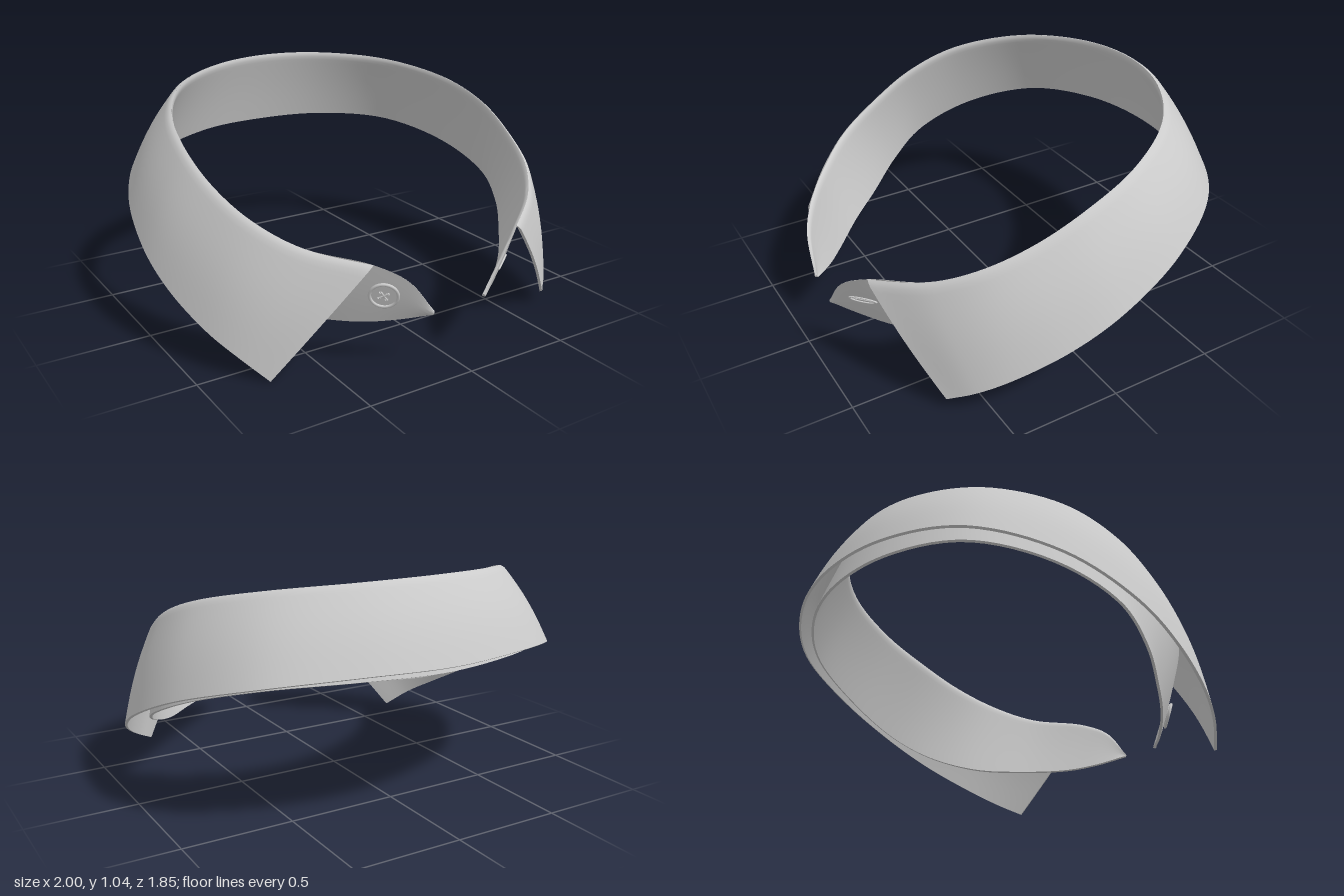
import * as THREE from 'three';
import { toCreasedNormals } from 'three/addons/utils/BufferGeometryUtils.js';

const material = new THREE.MeshStandardMaterial({ color: 0xcccccc });
const V = (x, y, z) => new THREE.Vector3(x, y, z);
const THICK = 0.012;

// Left half of each guide line, from centre back to centre front
const FOLD = [[0, 1.042, -0.733], [0.3, 1.032, -0.675], [0.585, 0.998, -0.485], [0.76, 0.93, -0.2], [0.805, 0.845, 0.05],
  [0.782, 0.74, 0.28], [0.71, 0.648, 0.49], [0.58, 0.57, 0.66], [0.36, 0.51, 0.83]];
const FALL_EDGE = [[0, 0.705, -0.918], [0.38, 0.7, -0.853], [0.725, 0.655, -0.66], [0.925, 0.555, -0.34], [0.988, 0.42, -0.02],
  [0.962, 0.305, 0.21], [0.88, 0.19, 0.43], [0.795, 0.112, 0.562], [0.702, 0.05, 0.655]];
const BAND_TOP = [...FOLD, [0.235, 0.435, 0.9], [0.12, 0.282, 0.922]];
const BAND_EDGE = [[0, 0.672, -0.872], [0.36, 0.67, -0.808], [0.68, 0.638, -0.625], [0.875, 0.545, -0.33], [0.935, 0.425, -0.05],
  [0.865, 0.325, 0.15], [0.715, 0.25, 0.35], [0.55, 0.226, 0.535], [0.36, 0.218, 0.71], [0.24, 0.234, 0.81], [0.123, 0.27, 0.915]];

// Mirrored half, hanging slightly lower towards the front
function mirrored([x, y, z]) {
  const k = THREE.MathUtils.clamp((z + 0.2) / 0.85, 0, 1);
  const drop = 0.028 + 0.45 * Math.max(0, 0.1 - y);
  return V(-x * (1 + 0.1 * k * Math.max(0, 0.5 - y)), y - k * drop, z - 0.025 * k);
}

function fullCurve(half) {
  const right = half.slice(1).reverse().map(mirrored);
  return new THREE.CatmullRomCurve3([...right, ...half.map((p) => V(...p))]);
}

// Surface ruled between two curves, with a soft outward bulge
function ruled(top, bottom, bulge) {
  const base = (u, v) => top.getPoint(u).lerp(bottom.getPoint(u), v);
  const frame = (u, v) => {
    const e = 0.002;
    const dU = base(Math.min(1, u + e), v).sub(base(Math.max(0, u - e), v)).normalize();
    const dV = base(u, 1).sub(base(u, 0)).normalize();
    return { dU, n: dU.clone().cross(dV).normalize() };
  };
  const point = (u, v, offset = 0) => base(u, v).addScaledVector(frame(u, v).n, offset + bulge * Math.sin(Math.PI * v));
  return { point, frame };
}

// Closed cloth sheet between two offsets of a surface, thinning to the fold at its top
function sheet(surface, inner, outer, nu = 128, nv = 14) {
  const pos = [], idx = [], ring = 2 * (nv + 1);
  for (let i = 0; i <= nu; i++) {
    for (let k = 0; k < ring; k++) {
      const front = k <= nv;
      const v = Math.pow((front ? k : ring - 1 - k) / nv, 1.5);
      const taper = Math.sqrt(Math.min(1, v / 0.06));
      const p = surface.point(i / nu, v, taper * (front ? outer : inner));
      pos.push(p.x, p.y, p.z);
    }
  }
  for (let i = 0; i < nu; i++) {
    for (let k = 0; k < ring; k++) {
      const a = i * ring + k, c = i * ring + (k + 1) % ring;
      idx.push(a, a + ring, c, a + ring, c + ring, c);
    }
  }
  for (let j = 0; j < nv; j++) {
    const a = j, b = j + 1, c = ring - 1 - j, d = ring - 2 - j, s = nu * ring;
    idx.push(a, b, c, b, d, c);
    idx.push(s + a, s + c, s + b, s + b, s + c, s + d);
  }
  const geo = new THREE.BufferGeometry();
  geo.setAttribute('position', new THREE.Float32BufferAttribute(pos, 3));
  geo.setIndex(idx);
  return toCreasedNormals(geo, 0.8);
}

function add(parent, name, geometry) {
  const mesh = new THREE.Mesh(geometry, material);
  mesh.name = name;
  parent.add(mesh);
  return mesh;
}

// Group lying on a surface: x along the band, z outwards
function groupOn(surface, u, v, name) {
  const group = new THREE.Group();
  const { dU, n } = surface.frame(u, v);
  group.name = name;
  group.quaternion.setFromRotationMatrix(new THREE.Matrix4().makeBasis(dU, n.clone().cross(dU), n));
  group.position.copy(surface.point(u, v));
  return group;
}

export function createModel() {
  const model = new THREE.Group();
  model.name = 'shirtCollar';
  const band = ruled(fullCurve(BAND_TOP), fullCurve(BAND_EDGE), 0.004);
  const fall = ruled(fullCurve(FOLD), fullCurve(FALL_EDGE), 0.015);

  // Inner stand and the fall folded over it
  add(model, 'collarBand', sheet(band, -THICK, 0));
  add(model, 'collarFall', sheet(fall, 0, THICK));

  // Button with rim, four holes and crossed thread
  const button = groupOn(band, 0.0765, 0.42, 'button');
  const disc = new THREE.Shape().absarc(0, 0, 0.058, 0, Math.PI * 2);
  for (let i = 0; i < 4; i++) {
    const a = Math.PI / 4 + i * Math.PI / 2;
    disc.holes.push(new THREE.Path().absarc(0.021 * Math.cos(a), 0.021 * Math.sin(a), 0.008, 0, Math.PI * 2, true));
  }
  add(button, 'buttonDisc', new THREE.ExtrudeGeometry(disc, { depth: 0.01, bevelEnabled: false, curveSegments: 24 }));
  add(button, 'buttonRim', new THREE.TorusGeometry(0.058, 0.007, 8, 40)).position.z = 0.01;
  for (const side of [-1, 1]) {
    const thread = add(button, 'buttonThread', new THREE.CapsuleGeometry(0.004, 0.042, 4, 8));
    thread.rotation.z = side * Math.PI / 4;
    thread.position.z = 0.011;
  }
  model.add(button);

  // Stitched buttonhole with a centre slit
  const hole = groupOn(band, 0.929, 0.45, 'buttonhole');
  hole.rotateZ(-0.15);
  const stitch = add(hole, 'buttonholeStitching', new THREE.TorusGeometry(0.058, 0.008, 8, 40));
  stitch.scale.set(1.1, 0.24, 0.7);
  const slit = add(hole, 'buttonholeSlit', new THREE.CapsuleGeometry(0.003, 0.085, 4, 8));
  slit.rotation.z = Math.PI / 2;
  model.add(hole);

  return model;
}
